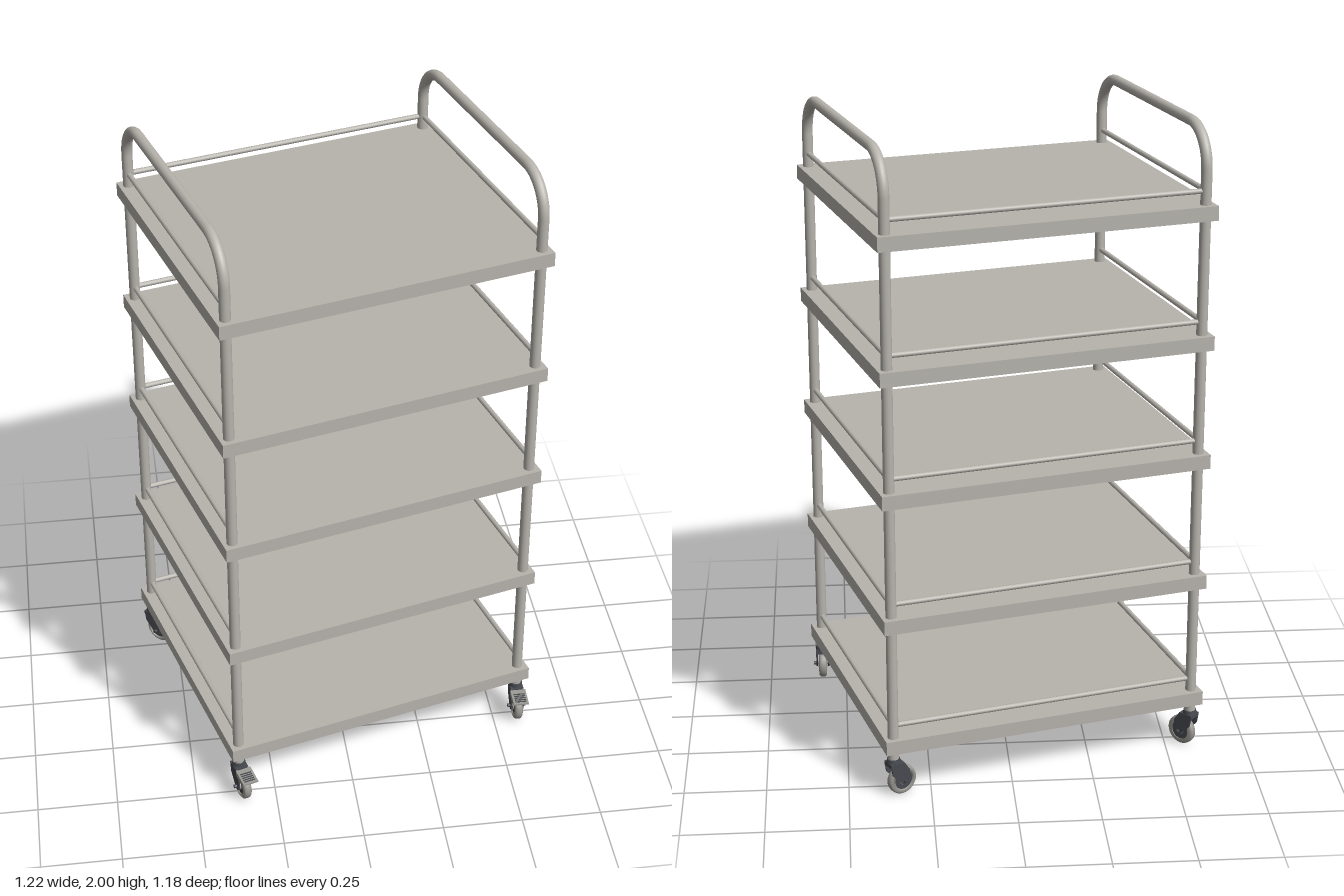
import * as THREE from 'three';

const steel = new THREE.MeshStandardMaterial({ name: 'steel', color: 0xb7b4ad });
const darkPlastic = new THREE.MeshStandardMaterial({ name: 'darkPlastic', color: 0x474a50 });
const tyreGrey = new THREE.MeshStandardMaterial({ name: 'tyreGrey', color: 0x9a9892 });

const YAW = Math.PI / 12;          // the whole trolley stands turned by 15 degrees
const POST_X = 0.486, POST_Z = 0.412, TUBE_R = 0.0165;
const BEND = 0.12, TOP = 2 - TUBE_R;
const SHELF_TOPS = [0.195, 0.592, 0.988, 1.363, 1.76];
const SHELF_W = 1.03, SHELF_D = 0.884, SHELF_H = 0.044, SHEET = 0.008, FLANGE = 0.012;

function add(parent, name, geometry, material, x = 0, y = 0, z = 0) {
  const mesh = new THREE.Mesh(geometry, material);
  mesh.name = name;
  mesh.position.set(x, y, z);
  parent.add(mesh);
  return mesh;
}

// Round bar lying along x
function barX(radius, length, sides = 12) {
  return new THREE.CylinderGeometry(radius, radius, length, sides).rotateZ(Math.PI / 2);
}

function rectangle(PathType, w, d) {
  return new PathType([[-w, -d], [w, -d], [w, d], [-w, d]]
    .map(([x, y]) => new THREE.Vector2(x / 2, y / 2)));
}

// Downturned rim under the shelf sheet, open below; its top lies at y = 0
function flangeGeometry() {
  const rim = rectangle(THREE.Shape, SHELF_W, SHELF_D);
  rim.holes.push(rectangle(THREE.Path, SHELF_W - 2 * FLANGE, SHELF_D - 2 * FLANGE));
  return new THREE.ExtrudeGeometry(rim, { depth: SHELF_H - SHEET, bevelEnabled: false })
    .rotateX(Math.PI / 2);
}

// Arched push handle joining a front and a back post
function handleGeometry() {
  const k = BEND * 0.4477, low = TOP - BEND, flat = POST_Z - BEND;
  const v = (y, z) => new THREE.Vector3(0, y, z);
  const path = new THREE.CurvePath();
  path.add(new THREE.CubicBezierCurve3(
    v(low, POST_Z), v(TOP - k, POST_Z), v(TOP, POST_Z - k), v(TOP, flat)));
  path.add(new THREE.LineCurve3(v(TOP, flat), v(TOP, -flat)));
  path.add(new THREE.CubicBezierCurve3(
    v(TOP, -flat), v(TOP, -POST_Z + k), v(TOP - k, -POST_Z), v(low, -POST_Z)));
  return new THREE.TubeGeometry(path, 72, TUBE_R, 16);
}

// Plate cut from a (z, y) outline, standing upright and centred on x = 0
function sidePlate(points, thickness) {
  const shape = new THREE.Shape(points.map(([z, y]) => new THREE.Vector2(z, y)));
  return new THREE.ExtrudeGeometry(shape, { depth: thickness, bevelEnabled: false })
    .translate(0, 0, -thickness / 2).rotateY(-Math.PI / 2);
}

// Swivel castor: the stem is at the origin, the wheel trails towards +z
function makeCastor(withBrake) {
  const castor = new THREE.Group();
  castor.name = withBrake ? 'brakedCastor' : 'castor';
  const axleY = 0.047, axleZ = 0.028;

  // Wheel with rounded tread, built as a lathe and turned onto its axle
  const profile = [[0.03, -0.013], [0.041, -0.013], [0.046, -0.008], [0.047, 0],
    [0.046, 0.008], [0.041, 0.013], [0.03, 0.013], [0.03, -0.013]]
    .map(([r, y]) => new THREE.Vector2(r, y));
  add(castor, 'tyre', new THREE.LatheGeometry(profile, 28).rotateZ(Math.PI / 2),
    tyreGrey, 0, axleY, axleZ);
  add(castor, 'wheelDisc', barX(0.031, 0.021, 24), darkPlastic, 0, axleY, axleZ);
  add(castor, 'hub', barX(0.014, 0.03, 16), tyreGrey, 0, axleY, axleZ);
  add(castor, 'axle', barX(0.006, 0.06, 8), darkPlastic, 0, axleY, axleZ);

  // Fork cheeks on both sides of the wheel
  const cheek = sidePlate([[-0.02, 0.112], [0.026, 0.112], [0.044, 0.085],
    [0.042, 0.04], [0.03, 0.033], [0.018, 0.04], [-0.014, 0.075]], 0.005);
  for (const side of [-1, 1]) add(castor, 'forkCheek', cheek, darkPlastic, side * 0.019);
  add(castor, 'forkCrown', new THREE.BoxGeometry(0.042, 0.012, 0.046), darkPlastic, 0, 0.107, 0.003);
  add(castor, 'swivelCollar', new THREE.CylinderGeometry(0.02, 0.022, 0.014, 16), darkPlastic, 0, 0.118, 0);

  // Wedge-shaped foot pedal with a ribbed tread
  if (withBrake) {
    add(castor, 'brakePedal', sidePlate([[0.034, 0.116], [0.034, 0.1], [0.056, 0.092],
      [0.096, 0.104], [0.096, 0.109]], 0.05), tyreGrey);
    for (let i = 0; i < 5; i++) {
      const rib = add(castor, 'pedalRib', new THREE.BoxGeometry(0.036, 0.004, 0.004), darkPlastic,
        0, 0.113 - i * 0.0009, 0.054 + i * 0.008);
      rib.rotation.x = 0.11;
    }
  }
  return castor;
}

export function createModel() {
  const model = new THREE.Group();
  model.name = 'shelfTrolley';
  const cart = new THREE.Group();
  cart.name = 'cart';
  cart.position.set(0.001, 0, -0.031);
  cart.rotation.y = YAW;
  model.add(cart);

  // Folded sheet shelves, each with a guard rail at the back and both sides
  const sheet = new THREE.BoxGeometry(SHELF_W, SHEET, SHELF_D);
  const flange = flangeGeometry();
  const backRail = barX(0.008, POST_X * 2);
  const sideRail = barX(0.008, POST_Z * 2).rotateY(Math.PI / 2);
  for (const top of SHELF_TOPS) {
    add(cart, 'shelfSheet', sheet, steel, 0, top - SHEET / 2, 0);
    add(cart, 'shelfFlange', flange, steel, 0, top - SHEET, 0);
    add(cart, 'backRail', backRail, steel, 0, top + 0.041, -POST_Z);
    for (const side of [-1, 1]) add(cart, 'sideRail', sideRail, steel, side * POST_X, top + 0.041, 0);
  }

  // Posts, handles and castors; each castor is swivelled its own way
  const postBottom = 0.118, postTop = TOP - BEND;
  const post = new THREE.CylinderGeometry(TUBE_R, TUBE_R, postTop - postBottom, 16);
  const handle = handleGeometry();
  const swivel = { '-1,1': 0.3, '1,1': 0, '-1,-1': 0.8, '1,-1': -1.05 };
  for (const sx of [-1, 1]) {
    add(cart, 'handle', handle, steel, sx * POST_X);
    for (const sz of [-1, 1]) {
      add(cart, 'post', post, steel, sx * POST_X, (postTop + postBottom) / 2, sz * POST_Z);
      const castor = makeCastor(sz > 0);
      castor.position.set(sx * POST_X, 0, sz * POST_Z);
      castor.rotation.y = swivel[`${sx},${sz}`] - YAW;
      cart.add(castor);
    }
  }
  return model;
}
